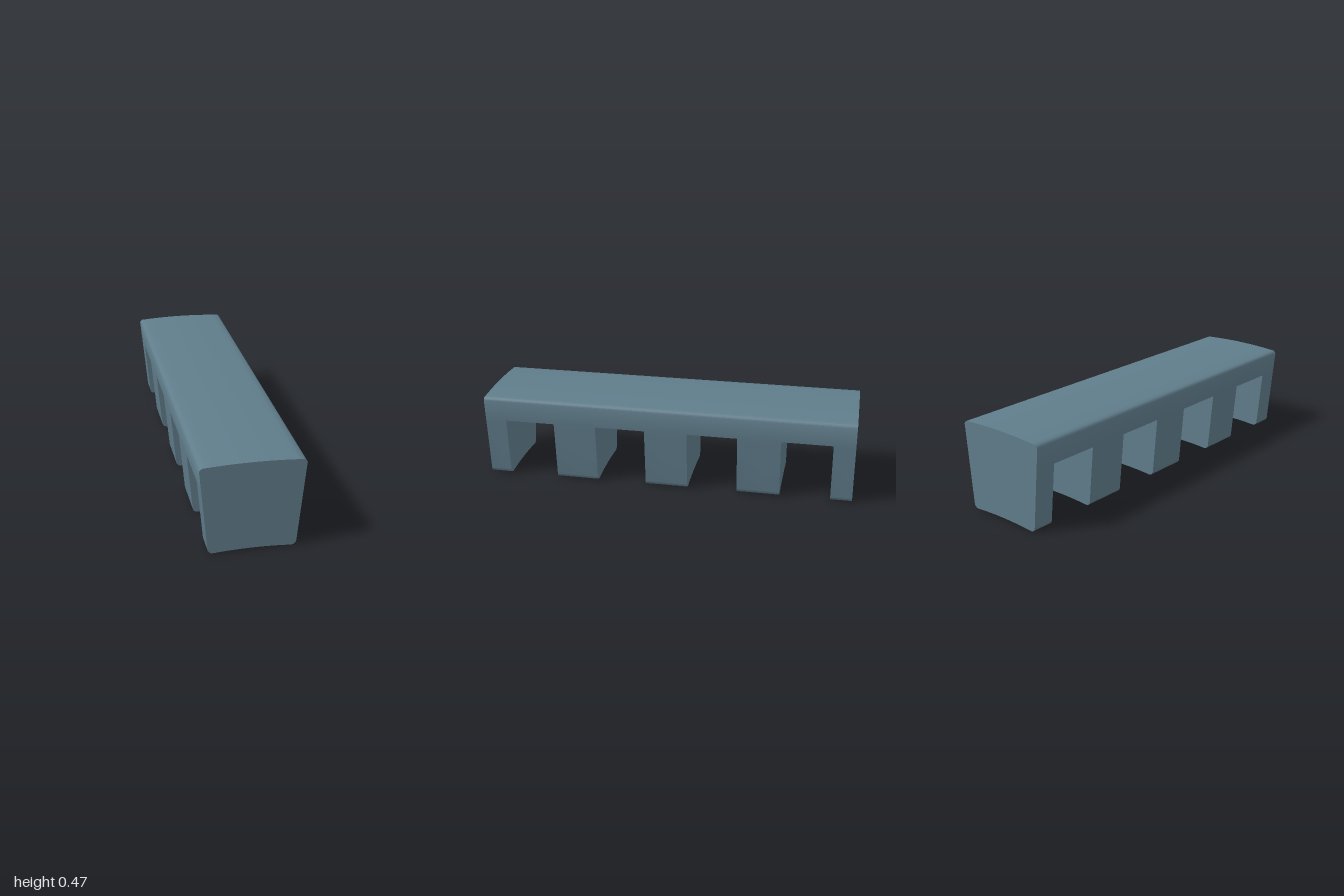
import * as THREE from 'three';
import { mergeGeometries, toCreasedNormals } from 'three/addons/utils/BufferGeometryUtils.js';

const SLOT_TOP = 0.33, SIDE_X = 0.245;

// Completes a right-hand half outline by mirroring it across x = 0
const mirrored = (half) => half.slice().reverse().map(([x, y]) => [-x, y]);

// Crowned top with bevelled edges, running counterclockwise from right to left
function upperOutline() {
  const half = [[SIDE_X, SLOT_TOP], [0.2554, 0.443], [0.2535, 0.448], [0.246, 0.457], [0.242, 0.4595]];
  for (let i = 1; i < 8; i++) {
    const x = 0.242 * (1 - i / 8);
    half.push([x, 0.469 - 0.0095 * (x / 0.242) ** 2]);
  }
  return [...half, [0, 0.469], ...mirrored(half)];
}

// Hollowed underside with rounded corners, running from left to right
function lowerOutline() {
  const half = [];
  for (let i = 1; i < 8; i++) {
    const x = 0.19 * i / 8;
    half.push([x, 0.008 - 0.0079 * (x / 0.19) ** 2]);
  }
  for (let i = 0; i <= 8; i++) {
    const a = THREE.MathUtils.degToRad(-95 + 90 * i / 8);
    half.push([0.192 + 0.025 * Math.cos(a), 0.025 + 0.025 * Math.sin(a)]);
  }
  half.push([SIDE_X, SLOT_TOP]);
  return [...mirrored(half), [0, 0.008], ...half];
}

// Sweeps an open outline along z
function strip(points, z0, z1) {
  const pos = [];
  for (let i = 0; i < points.length - 1; i++) {
    const [ax, ay] = points[i], [bx, by] = points[i + 1];
    pos.push(ax, ay, z0, bx, by, z0, bx, by, z1, ax, ay, z0, bx, by, z1, ax, ay, z1);
  }
  return new THREE.BufferGeometry().setAttribute('position', new THREE.Float32BufferAttribute(pos, 3));
}

// Flat end wall facing +z or -z
function wall(points, z, facing) {
  const shape = new THREE.Shape(points.map(([x, y]) => new THREE.Vector2(x, y)));
  const g = new THREE.ShapeGeometry(shape).toNonIndexed();
  g.deleteAttribute('uv');
  g.deleteAttribute('normal');
  if (facing < 0) g.rotateY(Math.PI);
  return g.translate(0, 0, z);
}

export function createModel() {
  const blueGrey = new THREE.MeshStandardMaterial({ color: 0x607d8b });
  blueGrey.name = 'blueGrey';

  const upper = upperOutline(), lower = lowerOutline();
  const full = [...upper, ...lower.slice(1, -1)];
  const parts = [strip(upper, -1, 1), wall(full, 1, 1), wall(full, -1, -1)];

  // Four slots: ceiling and the two tooth walls facing into each
  const ceiling = [[-SIDE_X, SLOT_TOP], [SIDE_X, SLOT_TOP]];
  let toothStart = -1;
  for (const z of [-0.75, -0.25, 0.25, 0.75]) {
    const z0 = z - 0.135, z1 = z + 0.135;
    parts.push(strip(ceiling, z0, z1), wall(lower, z0, 1), wall(lower, z1, -1));
    parts.push(strip(lower, toothStart, z0));
    toothStart = z1;
  }
  parts.push(strip(lower, toothStart, 1));

  const bar = new THREE.Mesh(toCreasedNormals(mergeGeometries(parts), 0.5), blueGrey);
  bar.name = 'slottedBar';
  const group = new THREE.Group();
  group.name = 'slottedWedge';
  group.add(bar);
  return group;
}
